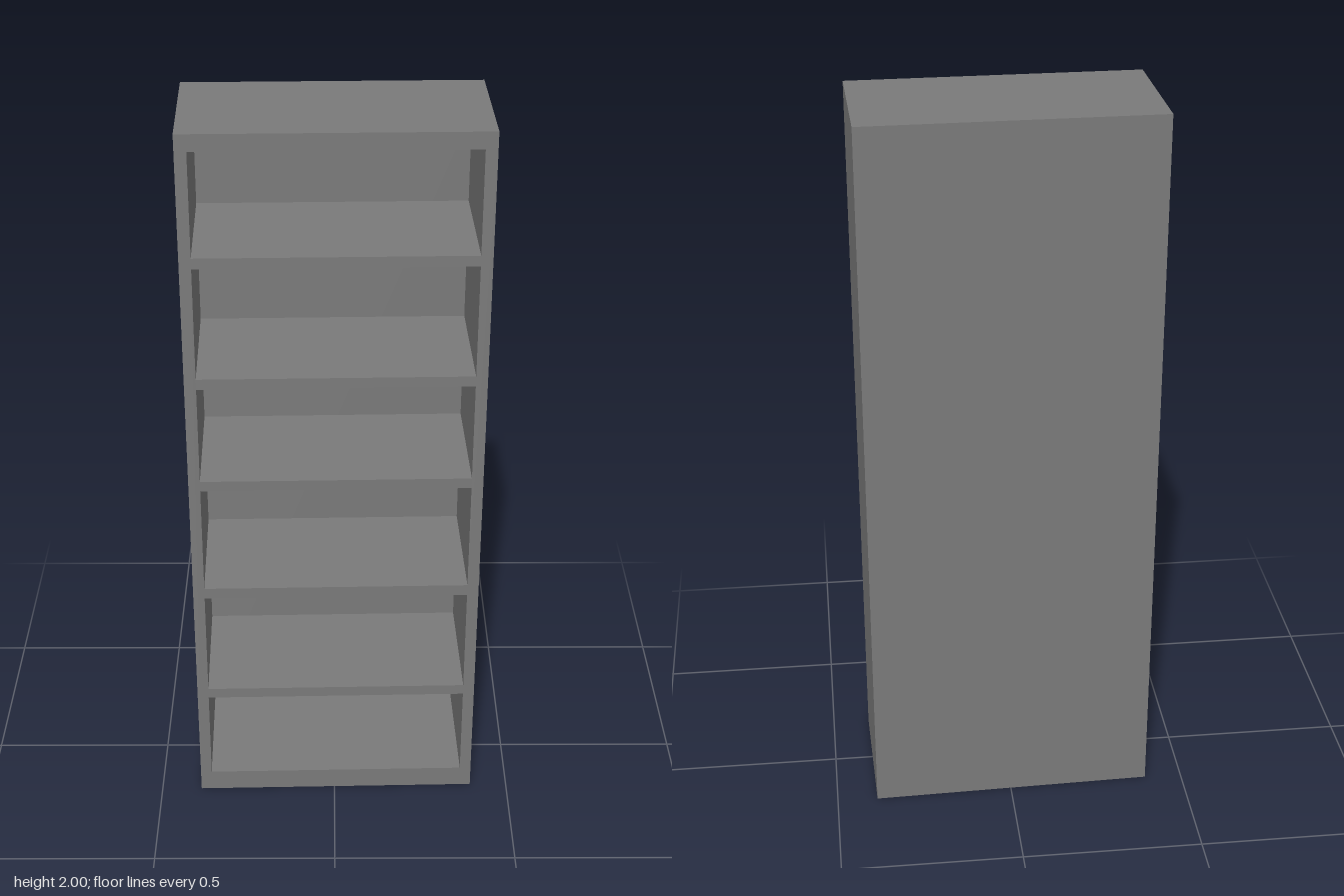
import * as THREE from 'three';

const WIDTH = 0.782, HEIGHT = 2, DEPTH = 0.383;
const SIDE = 0.031, BACK = 0.022;

// Bottom and top height of each open compartment
const BAYS = [
  [0.061, 0.328], [0.358, 0.665], [0.697, 1.007],
  [1.036, 1.311], [1.34, 1.648], [1.677, 1.955],
];

function rectangle(PathType, x0, y0, x1, y1) {
  const path = new PathType();
  path.moveTo(x0, y0);
  path.lineTo(x1, y0);
  path.lineTo(x1, y1);
  path.lineTo(x0, y1);
  path.closePath();
  return path;
}

export function createModel() {
  const grey = new THREE.MeshStandardMaterial({ color: 0x7a7a7a });
  grey.name = 'grey';

  const bookcase = new THREE.Group();
  bookcase.name = 'bookcase';

  // Sides, top, base and shelves as one pierced frame
  const outline = rectangle(THREE.Shape, -WIDTH / 2, 0, WIDTH / 2, HEIGHT);
  for (const [low, high] of BAYS) {
    outline.holes.push(rectangle(THREE.Path, -WIDTH / 2 + SIDE, low, WIDTH / 2 - SIDE, high));
  }
  const frame = new THREE.Mesh(
    new THREE.ExtrudeGeometry(outline, { depth: DEPTH - BACK, bevelEnabled: false }), grey);
  frame.name = 'shelfFrame';
  frame.position.z = -DEPTH / 2 + BACK;
  bookcase.add(frame);

  // Closed back
  const back = new THREE.Mesh(new THREE.BoxGeometry(WIDTH, HEIGHT, BACK), grey);
  back.name = 'backPanel';
  back.position.set(0, HEIGHT / 2, -DEPTH / 2 + BACK / 2);
  bookcase.add(back);

  // The case stands turned very slightly
  bookcase.rotation.y = 0.0225;

  const model = new THREE.Group();
  model.name = 'model';
  model.add(bookcase);
  return model;
}
